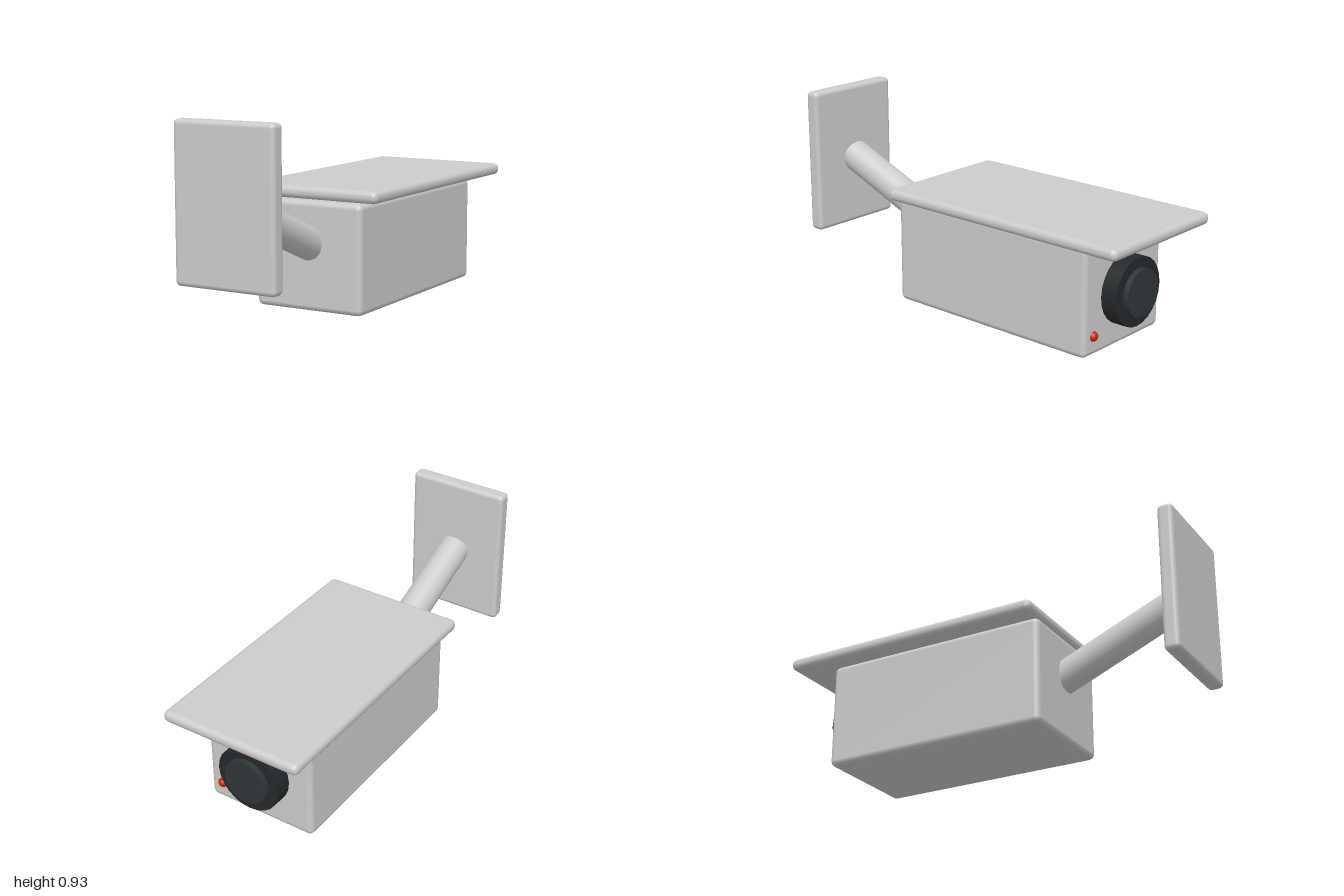
import * as THREE from 'three';
import { RoundedBoxGeometry } from 'three/addons/geometries/RoundedBoxGeometry.js';

const grey = new THREE.MeshStandardMaterial({ color: 0xcccccc });
const black = new THREE.MeshStandardMaterial({ color: 0x25282a });
const glass = new THREE.MeshStandardMaterial({ color: 0x2f3639 });
const red = new THREE.MeshStandardMaterial({ color: 0xcc2211 });

export function createModel() {
  const model = new THREE.Group();
  model.name = 'securityCamera';

  const add = (name, geometry, material) => {
    const mesh = new THREE.Mesh(geometry, material);
    mesh.name = name;
    model.add(mesh);
    return mesh;
  };

  // Softened box given by its lower and upper corners
  const box = (name, min, max, radius) => {
    const [w, h, d] = max.map((v, i) => v - min[i]);
    const mesh = add(name, new RoundedBoxGeometry(w, h, d, 2, radius), grey);
    mesh.position.set(...max.map((v, i) => (v + min[i]) / 2));
  };

  // Cylinder between two points
  const rod = (name, from, to, radius, sides, material) => {
    const a = new THREE.Vector3(...from);
    const axis = new THREE.Vector3(...to).sub(a);
    const length = axis.length();
    const mesh = add(name, new THREE.CylinderGeometry(radius, radius, length, sides), material);
    mesh.position.copy(a).addScaledVector(axis, 0.5);
    mesh.quaternion.setFromUnitVectors(new THREE.Vector3(0, 1, 0), axis.normalize());
  };

  // Housing, sun visor and wall plate
  box('housing', [-0.28, 0, -0.79], [0.28, 0.512, 0.335], 0.027);
  box('sunVisor', [-0.356, 0.517, -1], [0.356, 0.575, 0.333], 0.027);
  box('wallPlate', [-0.255, 0.208, 0.925], [0.255, 0.925, 1], 0.022);

  // Sloping arm from the housing up to the plate
  rod('mountArm', [0, 0.31, 0.31], [0, 0.564, 0.933], 0.077, 32, grey);

  // Lens barrel and glass, facing -z
  rod('lensBarrel', [0, 0.262, -0.75], [0, 0.262, -0.87], 0.163, 24, black);
  rod('lensGlass', [0, 0.262, -0.85], [0, 0.262, -0.896], 0.112, 24, glass);

  // Indicator light
  add('indicatorLight', new THREE.SphereGeometry(0.024, 16, 12), red).position.set(0.212, 0.094, -0.787);

  return model;
}
